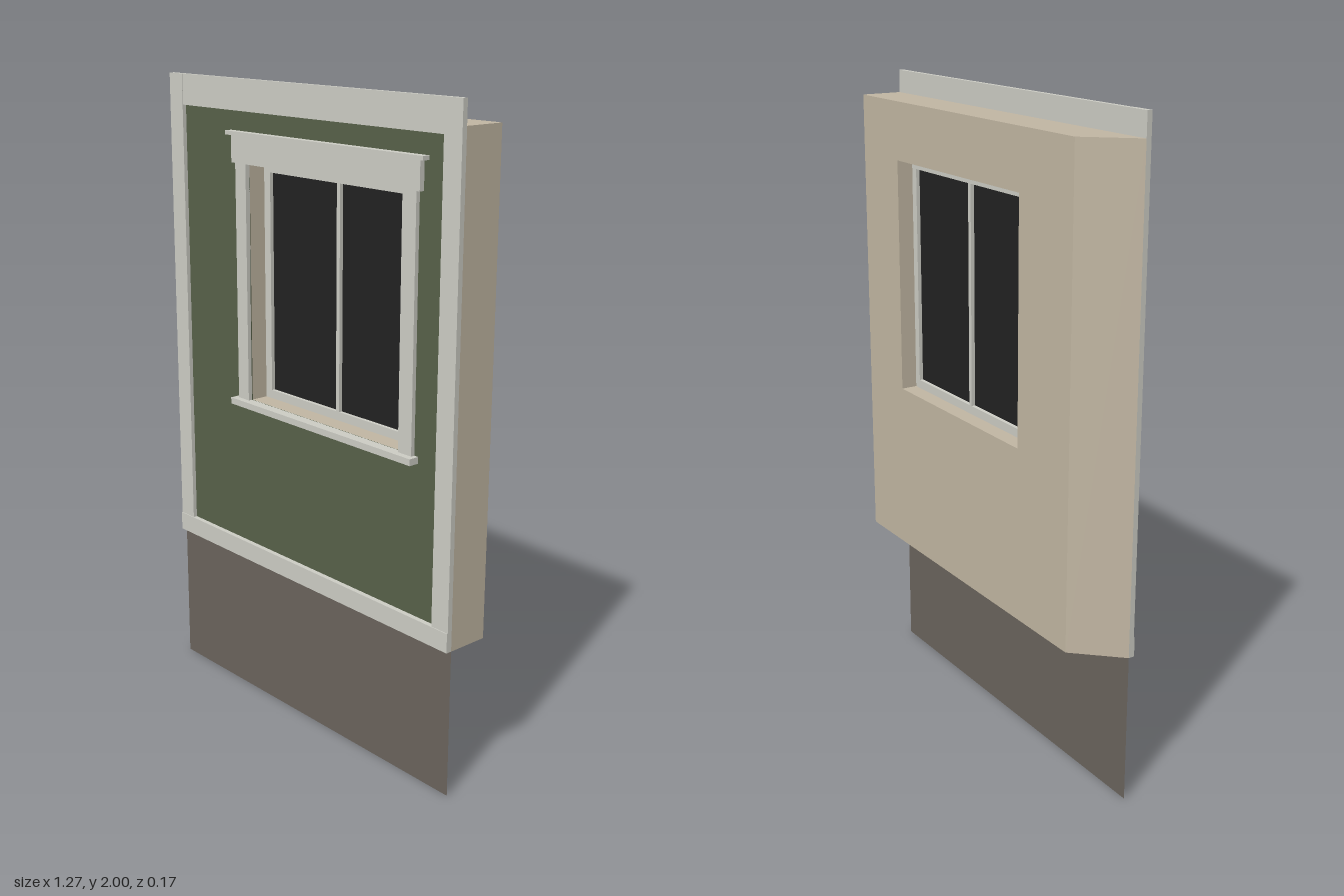
import * as THREE from 'three';

const mat = (name, color, side = THREE.FrontSide) => {
  const m = new THREE.MeshStandardMaterial({ color, side });
  m.name = name;
  return m;
};

// Window opening and overall wall limits
const HOLE = { x0: -0.255, x1: 0.42, y0: 1.01, y1: 1.75 };
const HALF = 0.633, BACK = -0.084, FACE = 0.048;

function rectPath(Type, x0, x1, y0, y1) {
  return new Type([[x0, y0], [x1, y0], [x1, y1], [x0, y1]].map(p => new THREE.Vector2(...p)));
}

// Rectangular slab with the window opening cut through
function slabWithOpening(x0, x1, y0, y1, z0, z1) {
  const shape = rectPath(THREE.Shape, x0, x1, y0, y1);
  shape.holes.push(rectPath(THREE.Path, HOLE.x0, HOLE.x1, HOLE.y0, HOLE.y1));
  return new THREE.ExtrudeGeometry(shape, { depth: z1 - z0, bevelEnabled: false }).translate(0, 0, z0);
}

export function createModel() {
  const model = new THREE.Group();
  model.name = 'wallPanel';
  const plaster = mat('plaster', 0xc2b7a3);
  const siding = mat('greenSiding', 0x58614a);
  const trim = mat('paleTrim', 0xcdcdc5);
  const base = mat('baseBrown', 0x6b645d, THREE.DoubleSide);
  const glass = mat('darkGlass', 0x222222, THREE.DoubleSide);

  const add = (name, geometry, material, parent = model) => {
    const mesh = new THREE.Mesh(geometry, material);
    mesh.name = name;
    parent.add(mesh);
    return mesh;
  };
  const box = (name, x0, x1, y0, y1, z0, z1, material, parent) => add(name,
    new THREE.BoxGeometry(x1 - x0, y1 - y0, z1 - z0)
      .translate((x0 + x1) / 2, (y0 + y1) / 2, (z0 + z1) / 2), material, parent);

  // Wall core, mitred on one end by pulling in its back edge
  const core = slabWithOpening(-HALF, HALF, 0.465, 1.93, BACK, FACE);
  const pos = core.attributes.position;
  for (let i = 0; i < pos.count; i++) {
    if (pos.getX(i) < -0.6 && pos.getZ(i) < 0) pos.setX(i, -0.508);
  }
  core.computeVertexNormals();
  add('wallCore', core, plaster);

  // Siding and foundation skirt
  add('siding', slabWithOpening(-0.57, 0.57, 0.52, 1.91, FACE, FACE + 0.003), siding);
  add('foundation', new THREE.PlaneGeometry(HALF * 2, 0.465).translate(0, 0.2325, FACE), base);

  // Border boards
  const border = new THREE.Group();
  border.name = 'borderTrim';
  model.add(border);
  box('leftBoard', 0.568, HALF, 0.525, 2, FACE, 0.064, trim, border);
  box('rightBoard', -HALF, -0.568, 0.525, 2, FACE, 0.064, trim, border);
  box('topBoard', -0.568, 0.568, 1.905, 2, FACE, 0.062, trim, border);
  box('bottomBoard', -HALF, HALF, 0.465, 0.525, FACE, 0.067, trim, border);

  // Window casing
  const casing = new THREE.Group();
  casing.name = 'windowCasing';
  model.add(casing);
  box('rightCasing', -0.305, HOLE.x0, HOLE.y0, HOLE.y1, FACE, 0.064, trim, casing);
  box('leftCasing', HOLE.x1, 0.473, HOLE.y0, HOLE.y1, FACE, 0.064, trim, casing);
  box('headCasing', -0.32, 0.488, HOLE.y1, 1.833, FACE, 0.067, trim, casing);
  box('headCap', -0.338, 0.506, 1.833, 1.845, FACE, 0.076, trim, casing);
  box('sill', -0.32, 0.488, 0.99, HOLE.y0, FACE, 0.084, trim, casing);

  // Recessed sash: frame, centre bar and glass
  const sash = new THREE.Group();
  sash.name = 'windowSash';
  model.add(sash);
  const frame = rectPath(THREE.Shape, HOLE.x0, HOLE.x1, HOLE.y0, HOLE.y1);
  frame.holes.push(rectPath(THREE.Path, -0.227, 0.077, 1.037, 1.722),
    rectPath(THREE.Path, 0.091, 0.396, 1.037, 1.722));
  add('sashFrame', new THREE.ExtrudeGeometry(frame, { depth: 0.024, bevelEnabled: false })
    .translate(0, 0, -0.032), trim, sash);
  add('glassPane', new THREE.PlaneGeometry(0.63, 0.69).translate(0.0845, 1.3795, -0.02), glass, sash);

  return model;
}
